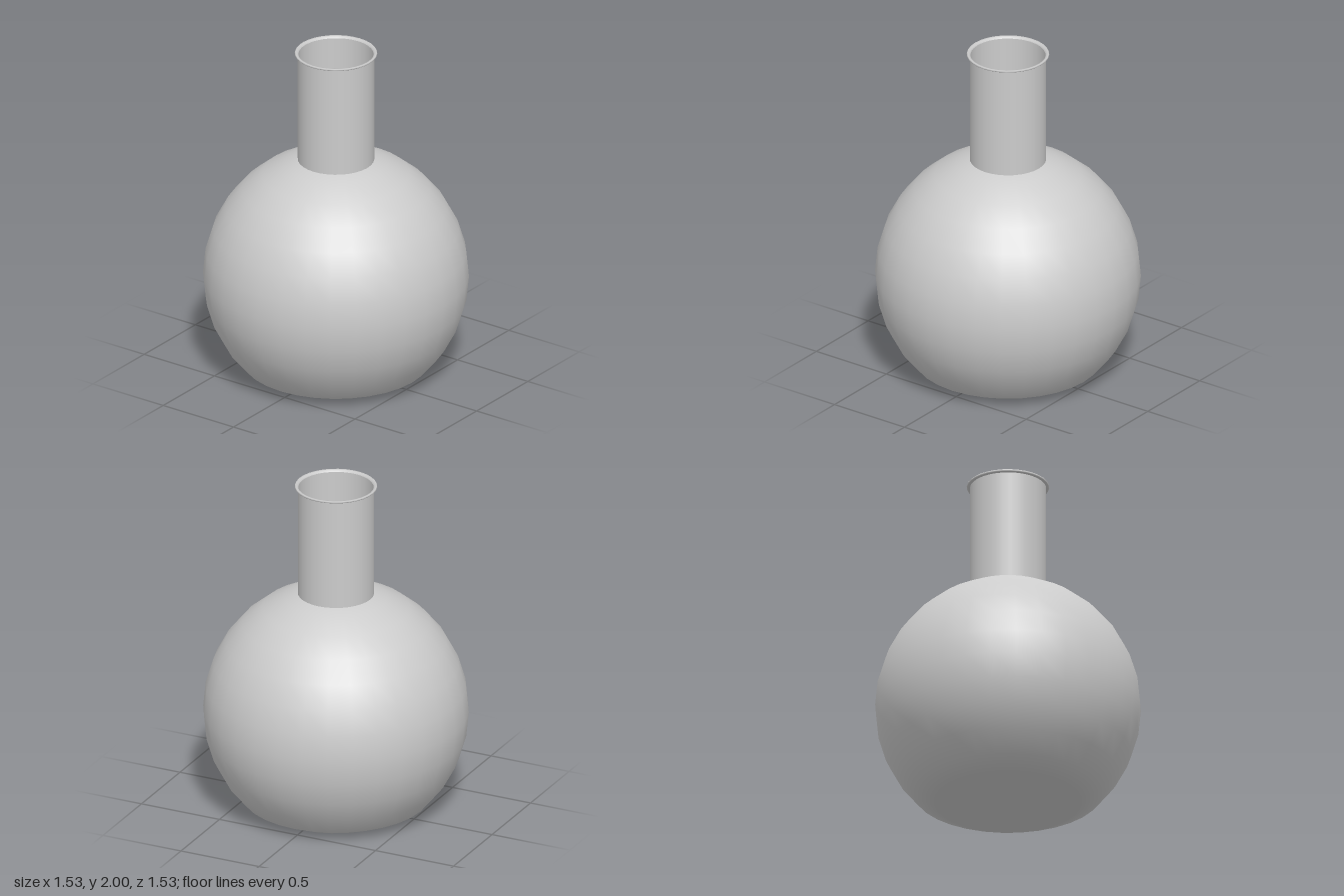
import * as THREE from 'three';

const SIDES = 32;
const material = new THREE.MeshStandardMaterial({ color: 0xcccccc, side: THREE.DoubleSide });

// Turned part from [radius, height] pairs, bottom to top
function turned(name, profile) {
  const points = profile.map(([r, y]) => new THREE.Vector2(r, y));
  const mesh = new THREE.Mesh(new THREE.LatheGeometry(points, SIDES), material);
  mesh.name = name;
  return mesh;
}

export function createModel() {
  const group = new THREE.Group();
  group.name = 'roundFlask';

  const R = 0.765, centreY = 0.595, neckR = 0.22, neckBase = 1.325;

  // Round bulb: sphere cut flat at the base and opening into the neck
  const bulb = [[0, 0]];
  for (let i = -5; i <= 6; i++) {
    const a = (i * Math.PI) / 16;
    bulb.push([R * Math.cos(a), Math.max(0, centreY + R * Math.sin(a))]);
  }
  bulb.push([neckR, neckBase]);
  group.add(turned('bulb', bulb));

  // Straight open neck
  group.add(turned('neck', [[neckR, neckBase], [neckR, 1.37], [neckR, 1.988]]));

  // Thin flared lip
  group.add(turned('lip', [
    [neckR, 1.986], [0.234, 1.988], [0.238, 1.994], [0.234, 2],
    [0.222, 1.998], [0.216, 1.988],
  ]));

  return group;
}
